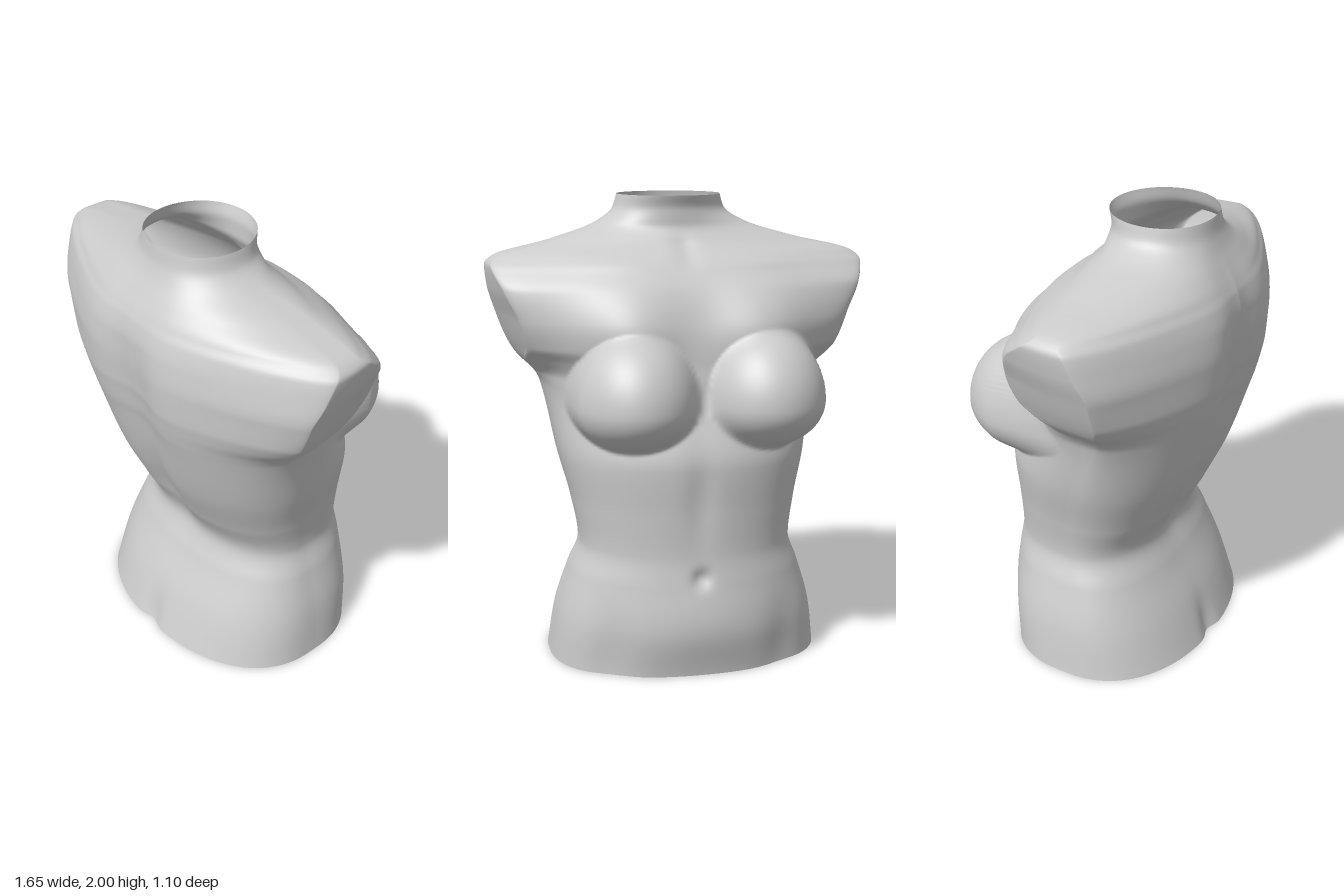
import * as THREE from 'three';

// Horizontal sections of the body, from the hips up to the neck:
// y, half width, back z, front z, rear and front edge of the flank or arm cut, back and front roundness
const SECTIONS = [
  [0, 0.60, 0.475, -0.42, 0.05, 0.00, 2.2, 2.3],
  [0.2, 0.57, 0.40, -0.445, 0.03, -0.02, 2.2, 2.3],
  [0.4, 0.51, 0.305, -0.43, 0.00, -0.03, 2.3, 2.3],
  [0.53, 0.465, 0.26, -0.42, -0.02, -0.04, 2.3, 2.3],
  [0.7, 0.49, 0.335, -0.425, 0.02, -0.02, 2.2, 2.3],
  [0.9, 0.54, 0.43, -0.435, 0.08, 0.03, 2.05, 2.3],
  [1.2, 0.60, 0.54, -0.34, 0.20, 0.14, 1.7, 2.2],
  [1.25, 0.63, 0.56, -0.33, 0.22, 0.14, 1.58, 2.0],
  [1.32, 0.70, 0.58, -0.31, 0.25, 0.03, 1.42, 1.7],
  [1.38, 0.735, 0.595, -0.295, 0.27, -0.08, 1.33, 1.65],
  [1.5, 0.78, 0.605, -0.265, 0.27, -0.12, 1.27, 1.7],
  [1.62, 0.815, 0.595, -0.23, 0.23, -0.09, 1.27, 1.7],
  [1.71, 0.825, 0.565, -0.18, 0.19, 0.01, 1.3, 1.6],
  [1.75, 0.79, 0.54, -0.145, 0.16, 0.06, 1.35, 1.6],
  [1.81, 0.55, 0.495, -0.07, 0.16, 0.08, 1.6, 1.7],
  [1.88, 0.33, 0.445, -0.03, 0.17, 0.14, 1.9, 1.9],
  [1.94, 0.245, 0.415, -0.03, 0.18, 0.17, 2, 2],
  [2.0, 0.225, 0.40, -0.05, 0.18, 0.18, 2, 2],
];

// Soft dents (+) and swellings (-) of the front: x, y, x radius, y radius, z shift
const FRONT_RELIEF = [
  [0, 0.43, 0.035, 0.04, 0.025],     // navel
  [0, 0.78, 0.06, 0.2, 0.015],       // midline groove
  [0, 0.24, 0.26, 0.17, -0.02],      // lower belly
  [0.38, 0.1, 0.09, 0.2, 0.02],      // groin creases
  [-0.38, 0.1, 0.09, 0.2, 0.02],
  [0.26, 1.46, 0.22, 0.2, -0.095],   // slopes above the breasts
  [-0.29, 1.46, 0.22, 0.2, -0.095],
  [0, 1.77, 0.05, 0.05, 0.02],       // throat notch
  [0.3, 1.73, 0.2, 0.03, -0.008],    // collar bones
  [-0.3, 1.73, 0.2, 0.03, -0.008],
];

// Same for the back
const BACK_RELIEF = [
  [0, 1.4, 0.15, 0.42, -0.085],      // furrow between the shoulder blades
  [-0.02, 0.8, 0.09, 0.25, -0.03],   // small of the back
  [-0.03, 0, 0.05, 0.14, -0.025],    // cleft
];

const bell = (t) => Math.exp(-t * t);
const relief = (list, x, y) => list.reduce(
  (sum, [cx, cy, rx, ry, d]) => sum + d * bell((x - cx) / rx) * bell((y - cy) / ry), 0);

// Smooth interpolation between sections without overshoot
function sectionAt(y) {
  const S = SECTIONS;
  let i = 0;
  while (i < S.length - 2 && y > S[i + 1][0]) i++;
  const h = S[i + 1][0] - S[i][0];
  const t = (y - S[i][0]) / h;
  const slope = (k, c) => (S[k + 1][c] - S[k][c]) / (S[k + 1][0] - S[k][0]);
  const tangent = (k, c) => {
    if (k === 0) return slope(0, c);
    if (k === S.length - 1) return slope(k - 1, c);
    const a = slope(k - 1, c), b = slope(k, c);
    return a * b <= 0 ? 0 : (2 * a * b) / (a + b);
  };
  return S[i].map((v, c) => {
    if (c === 0) return y;
    const u = 1 - t;
    return v * u * u * (1 + 2 * t) + S[i + 1][c] * t * t * (3 - 2 * t)
      + h * t * u * (u * tangent(i, c) - t * tangent(i + 1, c));
  });
}

// Breast: how far an ellipsoid stands out from the chest at z, with a soft seam
function breast(x, y, z, cx) {
  const r = Math.hypot((x - cx) / 0.275, (y - 1.16) / (y < 1.16 ? 0.21 : 0.32));
  if (r >= 1) return 0;
  const d = z + 0.2 + 0.355 * Math.sqrt(1 - r * r);
  const k = 0.05;
  const lift = d > k ? d : d < -k ? 0 : (d + k) ** 2 / (4 * k);
  return lift * THREE.MathUtils.smoothstep(1 - r, 0, 0.08);
}

// Half section from the middle of the back (s = 0) over the side to the middle of the front (s = 1)
function halfPoint([, w, back, front, edgeBack, edgeFront, pBack, pFront], s) {
  const A = 0.42, B = 0.52;
  const depth = edgeBack - edgeFront;
  const inset = 0.45 * depth * depth; // the arm cut turns slightly to the front
  if (s > A && s < B) {
    const t = (s - A) / (B - A);
    return [w - inset * t * t, edgeBack - depth * t];
  }
  const isBack = s <= A;
  const a = (isBack ? s / A : (1 - s) / (1 - B)) * Math.PI / 2;
  const e = 2 / (isBack ? pBack : pFront);
  const edge = isBack ? edgeBack : edgeFront;
  const end = isBack ? back : front;
  return [(isBack ? w : w - inset) * Math.pow(Math.sin(a), e),
    edge + (end - edge) * Math.pow(Math.max(0, Math.cos(a)), e)];
}

function torsoGeometry(around = 240, rows = 200) {
  const pos = [], index = [];
  for (let j = 0; j <= rows; j++) {
    const y = 2 * j / rows;
    const section = sectionAt(y);
    const shift = 0.02 * THREE.MathUtils.smoothstep(y, 1.75, 1.95);
    for (let i = 0; i < around; i++) {
      const k = 2 * i / around;
      const s = k <= 1 ? k : 2 - k;
      let [x, z] = halfPoint(section, s);
      if (k > 1) x = -x;
      if (s > 0.52) {
        const fade = THREE.MathUtils.smoothstep(s, 0.52, 0.6);
        z += fade * relief(FRONT_RELIEF, x, y);
        z -= fade * Math.max(breast(x, y, z, 0.25), breast(x, y, z, -0.3));
      } else if (s < 0.42) {
        z += relief(BACK_RELIEF, x, y);
      }
      pos.push(x + shift, y, z);
      if (j < rows) {
        const a = j * around + i, b = j * around + (i + 1) % around;
        index.push(a, b, b + around, a, b + around, a + around);
      }
    }
  }
  const g = new THREE.BufferGeometry();
  g.setAttribute('position', new THREE.Float32BufferAttribute(pos, 3));
  g.setIndex(index);
  g.computeVertexNormals();
  return g;
}

export function createModel() {
  const group = new THREE.Group();
  group.name = 'bust';
  // Hollow skin, open at the neck and at the hips
  const torso = new THREE.Mesh(torsoGeometry(),
    new THREE.MeshStandardMaterial({ color: 0xcccccc, side: THREE.DoubleSide }));
  torso.name = 'torso';
  group.add(torso);
  return group;
}
